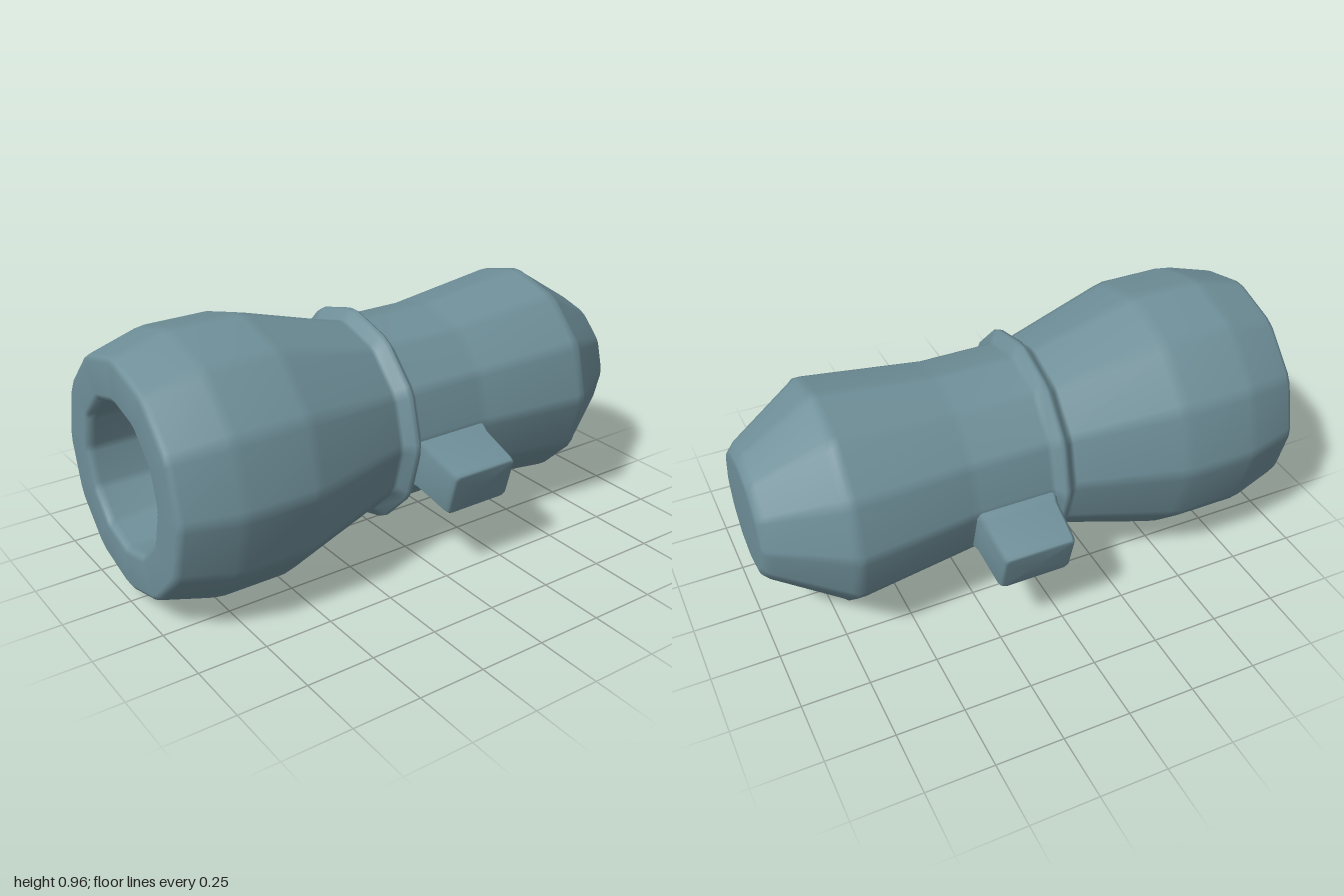
import * as THREE from 'three';
import { mergeVertices } from 'three/addons/utils/BufferGeometryUtils.js';

const CENTRE_Y = 0.48;

// Sweeps a cross-section ring (pairs of x, z) along y, scaled by the profile's [scale, y] stations
function loft(profile, ring) {
  const lathe = new THREE.LatheGeometry(profile.map(([r, y]) => new THREE.Vector2(r, y)), ring.length);
  const pos = lathe.attributes.position;
  const n = profile.length;
  for (let i = 0; i < pos.count; i++) {
    const [x, z] = ring[Math.floor(i / n) % ring.length];
    const [s, y] = profile[i % n];
    pos.setXYZ(i, x * s, y, z * s);
  }
  lathe.deleteAttribute('normal');
  lathe.deleteAttribute('uv');
  const geometry = mergeVertices(lathe, 1e-5);
  geometry.computeVertexNormals();
  return geometry;
}

export function createModel() {
  const group = new THREE.Group();
  const material = new THREE.MeshStandardMaterial({ color: 0x6f8f99 });

  // Twelve-sided ring with each corner softened into two points
  const dodecagon = [];
  for (let k = 0; k < 12; k++) {
    for (const offset of [-3, 3]) {
      const a = THREE.MathUtils.degToRad(k * 30 + offset);
      dodecagon.push([Math.sin(a), Math.cos(a)]);
    }
  }

  // Barrel: rear cap, waist, collar, swollen muzzle, then back into the bore
  const barrelProfile = [
    [0, -1], [0.2, -1], [0.225, -0.995], [0.25, -0.97],
    [0.395, -0.74], [0.41, -0.72], [0.41, -0.69],
    [0.362, -0.29], [0.357, -0.25], [0.357, 0.015],
    [0.365, 0.03], [0.398, 0.05], [0.403, 0.06], [0.398, 0.075], [0.365, 0.098], [0.363, 0.115],
    [0.47, 0.49], [0.48, 0.535], [0.48, 0.77], [0.474, 0.81],
    [0.427, 0.975], [0.42, 0.99], [0.403, 1],
    [0.29, 1], [0.272, 0.993], [0.264, 0.97], [0.262, 0.2], [0, 0.2],
  ];
  const barrel = new THREE.Mesh(loft(barrelProfile, dodecagon), material);
  barrel.name = 'barrel';
  barrel.rotation.x = Math.PI / 2;
  barrel.position.y = CENTRE_Y;
  group.add(barrel);

  // Trunnions: chamfered blocks sloping down from each side
  const quarter = [[0.85, 1], [1, 0.9]];
  const half = [...quarter, ...quarter.map(([x, z]) => [x, -z]).reverse()];
  const block = [...half, ...half.map(([x, z]) => [-x, -z])].map(([x, z]) => [x * 0.088, z * 0.143]);
  const trunnionGeometry = loft(
    [[1.1, 0.33], [1.06, 0.36], [1.02, 0.38], [0.96, 0.53], [0.93, 0.545], [0.86, 0.552], [0, 0.552]], block);
  for (const side of [1, -1]) {
    const trunnion = new THREE.Mesh(trunnionGeometry, material);
    trunnion.name = side > 0 ? 'leftTrunnion' : 'rightTrunnion';
    trunnion.rotation.z = -side * THREE.MathUtils.degToRad(105);
    trunnion.position.set(0, CENTRE_Y, -0.12);
    group.add(trunnion);
  }
  return group;
}
